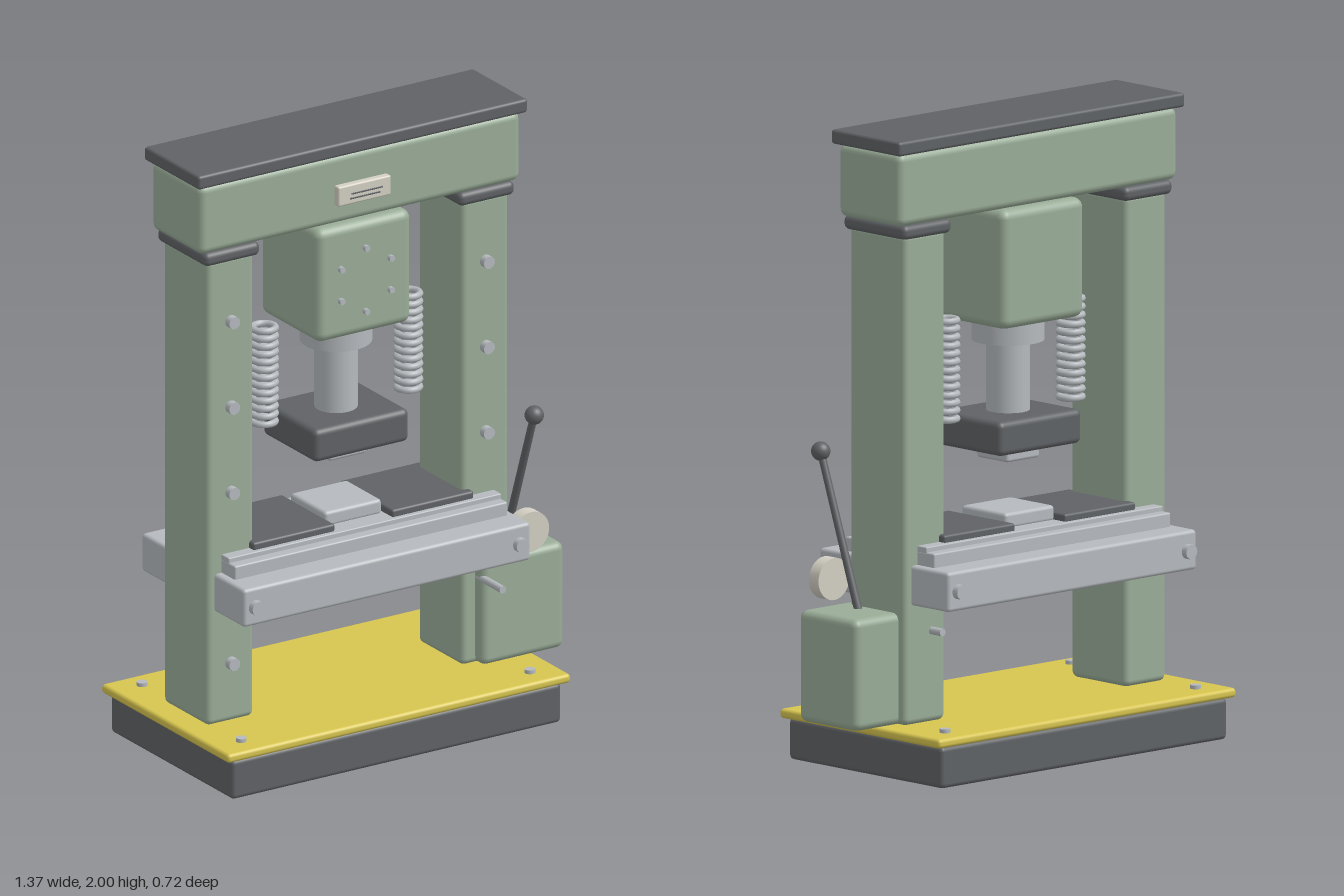
import * as THREE from 'three';
import { RoundedBoxGeometry } from 'three/addons/geometries/RoundedBoxGeometry.js';

const mat = (color) => new THREE.MeshStandardMaterial({ color });
const green = mat(0x9aad98), yellow = mat(0xd6c44f), dark = mat(0x5f6265);
const steel = mat(0xb5b9bd), ivory = mat(0xd3cfc3);

export function createModel() {
  const model = new THREE.Group();
  const mid = -0.055; // centre line of the frame

  const add = (name, geometry, material, x, y, z, parent = model) => {
    const mesh = new THREE.Mesh(geometry, material);
    mesh.name = name;
    mesh.position.set(x, y, z);
    parent.add(mesh);
    return mesh;
  };
  // Rounded block given by its limits on each axis
  const block = (name, material, [x0, x1], [y0, y1], [z0, z1], r = 0.01) =>
    add(name, new RoundedBoxGeometry(x1 - x0, y1 - y0, z1 - z0, 3, r), material,
      (x0 + x1) / 2, (y0 + y1) / 2, (z0 + z1) / 2);
  // Upright cylinder between two heights
  const post = (name, material, r, x, y0, y1, z, sides = 32) =>
    add(name, new THREE.CylinderGeometry(r, r, y1 - y0, sides), material, x, (y0 + y1) / 2, z);
  // Cylinder along z
  const pin = (name, material, r, x, y, z0, z1, sides = 24) => {
    const mesh = add(name, new THREE.CylinderGeometry(r, r, z1 - z0, sides), material, x, y, (z0 + z1) / 2);
    mesh.rotation.x = Math.PI / 2;
    return mesh;
  };

  // Base
  block('base', dark, [-0.66, 0.55], [0, 0.13], [-0.345, 0.345], 0.015);
  block('basePlate', yellow, [-0.685, 0.575], [0.13, 0.16], [-0.36, 0.36], 0.012);
  for (const x of [-0.585, 0.475])
    for (const z of [-0.28, 0.28]) post('baseBolt', steel, 0.017, x, 0.15, 0.172, z, 16);

  // Columns with collars and front bolts
  for (const x of [mid - 0.4675, mid + 0.4675]) {
    block('column', green, [x - 0.0875, x + 0.0875], [0.16, 1.7], [-0.125, 0.125], 0.02);
    block('columnCollar', dark, [x - 0.102, x + 0.102], [1.685, 1.73], [-0.14, 0.14], 0.018);
    for (let i = 0; i < 5; i++) pin('columnBolt', steel, 0.02, x, 0.355 + i * 0.2825, 0.115, 0.148);
  }

  // Top beam, cap and plate
  block('topBeam', green, [-0.645, 0.535], [1.728, 1.957], [-0.14, 0.14], 0.025);
  block('topCap', dark, [-0.66, 0.55], [1.955, 2], [-0.155, 0.155], 0.01);
  block('plate', ivory, [-0.153, 0.041], [1.795, 1.86], [0.138, 0.165], 0.006);
  block('plateRib', dark, [-0.105, 0.01], [1.827, 1.832], [0.16, 0.167], 0.001);
  block('plateRib', dark, [-0.11, 0], [1.812, 1.817], [0.16, 0.167], 0.001);

  // Press cylinder housing with a ring of bolts
  block('pressHousing', green, [mid - 0.175, mid + 0.175], [1.355, 1.73], [-0.165, 0.165], 0.03);
  for (let i = 0; i < 6; i++) {
    const a = Math.PI / 2 + i * Math.PI / 3;
    pin('housingBolt', steel, 0.01, mid + Math.cos(a) * 0.105, 1.537 + Math.sin(a) * 0.105, 0.155, 0.18, 12);
  }
  post('ramFlange', steel, 0.112, mid, 1.285, 1.36, 0, 40);
  post('ram', steel, 0.067, mid, 1.05, 1.29, 0);
  block('pressHead', dark, [mid - 0.175, mid + 0.175], [0.957, 1.065], [-0.15, 0.15], 0.02);
  block('pressPad', steel, [mid - 0.07, mid + 0.07], [0.915, 0.965], [-0.07, 0.07], 0.01);

  // Springs built from stacked rings
  for (const x of [mid - 0.265, mid + 0.265]) {
    const spring = new THREE.Group();
    spring.name = 'spring';
    spring.position.set(x, 0, 0);
    model.add(spring);
    const ring = new THREE.TorusGeometry(0.036, 0.011, 8, 28).rotateX(Math.PI / 2);
    for (let i = 0; i < 13; i++) add('springCoil', ring, steel, 0, 1.071 + i * 0.0257, 0, spring);
  }

  // Work bed
  block('bed', steel, [-0.582, 0.472], [0.535, 0.66], [-0.29, 0.29], 0.012);
  block('bedTable', steel, [-0.556, 0.446], [0.655, 0.704], [-0.2, 0.2], 0.006);
  block('bedTableTop', steel, [-0.556, 0.446], [0.7, 0.72], [-0.165, 0.165], 0.004);
  block('workPlate', dark, [-0.455, -0.155], [0.715, 0.743], [-0.15, 0.15], 0.008);
  block('workPlate', dark, [0.055, 0.355], [0.715, 0.743], [-0.15, 0.15], 0.008);
  block('anvil', steel, [mid - 0.105, mid + 0.105], [0.715, 0.765], [-0.1, 0.1], 0.012);
  for (const x of [mid - 0.485, mid + 0.485])
    for (const z of [-0.295, 0.295]) pin('bedBolt', steel, 0.023, x, 0.597, z - 0.016, z + 0.016);

  // Pump box with cross pin
  block('pumpBox', green, [0.375, 0.68], [0.16, 0.51], [-0.097, 0.165], 0.025);
  pin('crossPin', steel, 0.012, 0.386, 0.447, -0.175, 0.265, 16);

  // Gauge disc and lever
  pin('gauge', ivory, 0.066, 0.53, 0.587, 0.16, 0.203, 40);
  const foot = new THREE.Vector3(0.53, 0.5, 0.05), tip = new THREE.Vector3(0.53, 0.98, 0.22);
  const along = tip.clone().sub(foot);
  const centre = foot.clone().addScaledVector(along, 0.5);
  const lever = add('lever', new THREE.CylinderGeometry(0.012, 0.013, along.length(), 20), dark, ...centre.toArray());
  lever.quaternion.setFromUnitVectors(new THREE.Vector3(0, 1, 0), along.clone().normalize());
  add('leverKnob', new THREE.SphereGeometry(0.03, 24, 16), dark, ...tip.toArray());

  return model;
}
